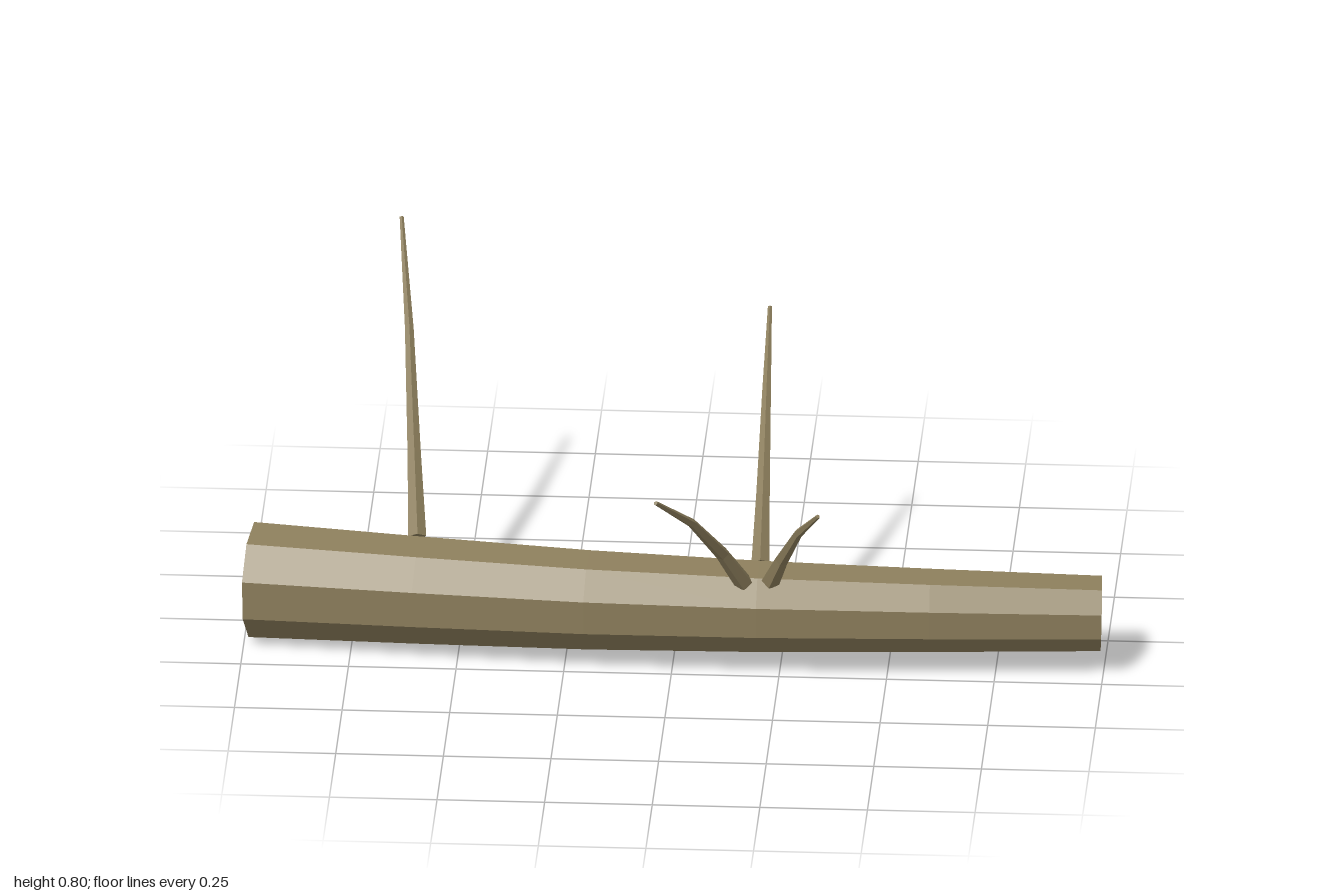
import * as THREE from 'three';

// Faceted tapering tube: cross-sections perpendicular to a path, closed at both ends.
// "ref" is the direction in which the first corner of every section points.
function taperedLimb(path, r0, r1, sides, ref) {
  const points = path.map((p) => new THREE.Vector3(...p));
  const last = points.length - 1;
  const positions = [];
  const rings = points.map((p, i) => {
    const t = points[Math.min(i + 1, last)].clone().sub(points[Math.max(i - 1, 0)]).normalize();
    const a = ref.clone().addScaledVector(t, -ref.dot(t)).normalize();
    const b = t.clone().cross(a);
    const r = THREE.MathUtils.lerp(r0, r1, i / last);
    return Array.from({ length: sides }, (_, j) => {
      const angle = (j / sides) * Math.PI * 2;
      return p.clone().addScaledVector(a, r * Math.cos(angle)).addScaledVector(b, r * Math.sin(angle));
    });
  });
  const tri = (...corners) => corners.forEach((v) => positions.push(v.x, v.y, v.z));
  for (let j = 0; j < sides; j++) {
    const k = (j + 1) % sides;
    for (let i = 0; i < last; i++) {
      tri(rings[i][j], rings[i][k], rings[i + 1][k]);
      tri(rings[i][j], rings[i + 1][k], rings[i + 1][j]);
    }
    tri(points[0], rings[0][k], rings[0][j]);
    tri(points[last], rings[last][j], rings[last][k]);
  }
  const geometry = new THREE.BufferGeometry();
  geometry.setAttribute('position', new THREE.Float32BufferAttribute(positions, 3));
  geometry.computeVertexNormals();
  return geometry;
}

export function createModel() {
  const group = new THREE.Group();
  group.name = 'fallenLog';
  const bark = new THREE.MeshStandardMaterial({ color: 0x8b7d5b, flatShading: true });
  bark.name = 'bark';

  const add = (name, geometry) => {
    const mesh = new THREE.Mesh(geometry, bark);
    mesh.name = name;
    group.add(mesh);
  };

  // Nine-sided, gently bowed trunk
  const trunkPath = [
    [-0.982, 0.134, 0.064], [-0.588, 0.142, 0.12], [-0.194, 0.147, 0.164],
    [0.2, 0.149, 0.183], [0.596, 0.146, 0.176], [0.993, 0.137, 0.15],
  ];
  add('trunk', taperedLimb(trunkPath, 0.136, 0.089, 9, new THREE.Vector3(0, 0, -1)));

  // Thin bare branches rising from the trunk
  const branches = {
    rearRightBranch: [[-0.603, 0.238, 0.035], [-0.618, 0.39, -0.1], [-0.642, 0.61, -0.315], [-0.672, 0.8, -0.525]],
    rearLeftBranch: [[0.2, 0.232, 0.12], [0.2, 0.365, 0.02], [0.198, 0.545, -0.15], [0.196, 0.688, -0.315]],
    frontRightBranch: [[0.168, 0.232, 0.24], [0.122, 0.33, 0.3], [0.058, 0.45, 0.4], [-0.02, 0.555, 0.525]],
    frontLeftBranch: [[0.23, 0.235, 0.235], [0.258, 0.31, 0.28], [0.3, 0.41, 0.355], [0.352, 0.493, 0.44]],
  };
  for (const [name, path] of Object.entries(branches)) {
    add(name, taperedLimb(path, 0.022, 0.005, 5, new THREE.Vector3(0, 1, 0)));
  }
  return group;
}
